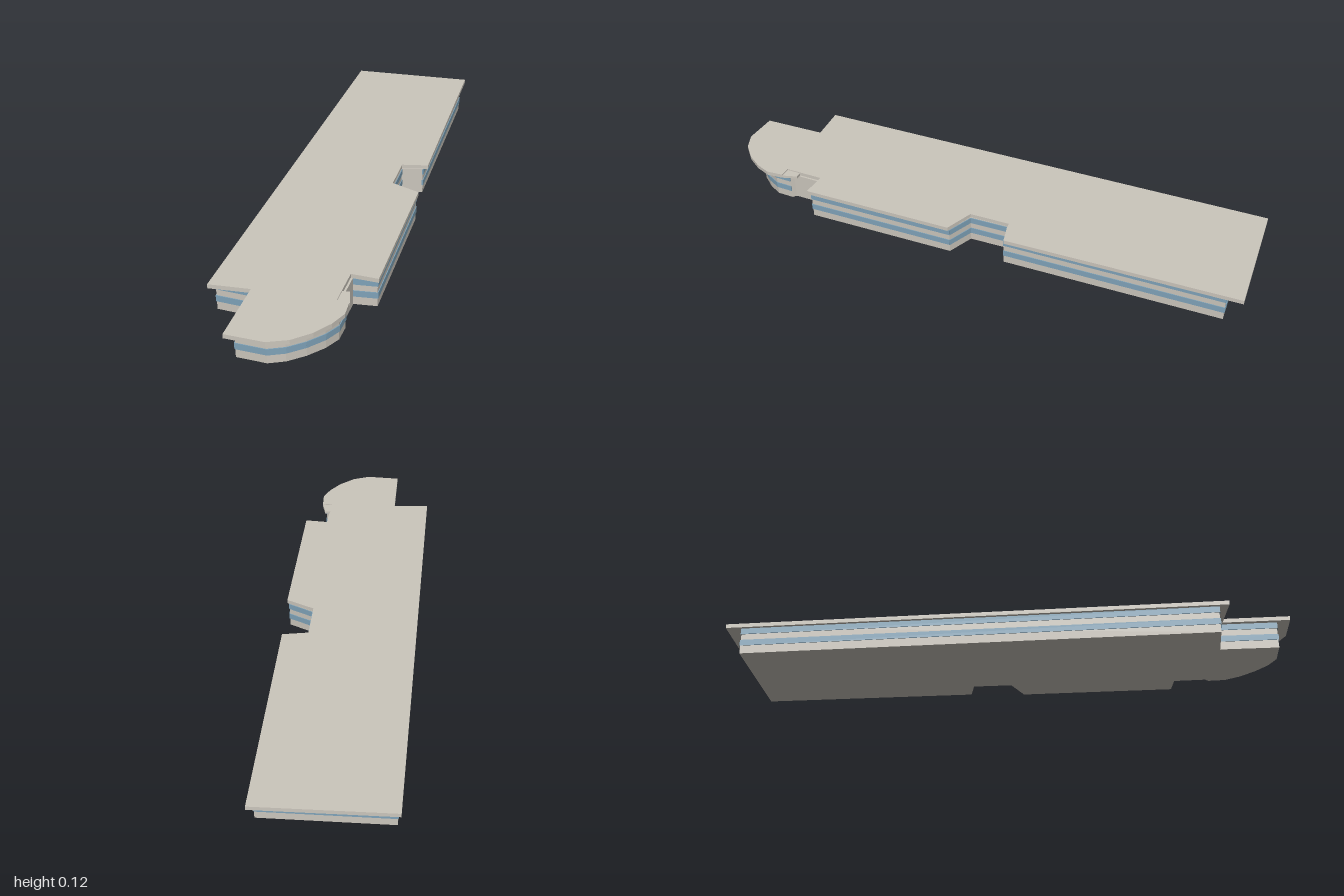
import * as THREE from 'three';

// Plan outlines as [x, z] corners, running from the back corner along the +x side to the front.
const ROOF = [
  [0.33, -1], [0.765, -0.73], [0.262, 0.045], [0.165, 0.005], [0.075, 0.14], [0.143, 0.243],
  [-0.205, 0.765], [-0.285, 0.705], [-0.375, 0.835], [-0.34, 0.86], [-0.375, 0.92],
  [-0.43, 0.957], [-0.5, 0.985], [-0.58, 0.997], [-0.655, 0.983], [-0.77, 0.9],
  [-0.628, 0.685], [-0.76, 0.61],
];
// A third entry of 0 marks a wall that carries no window bands.
const WALLS = [
  [0.306, -0.942], [0.717, -0.683], [0.242, 0.04, 0], [0.162, 0.01], [0.077, 0.14], [0.137, 0.235],
  [-0.203, 0.748], [-0.278, 0.708, 0], [-0.35, 0.812, 0], [-0.345, 0.83], [-0.385, 0.885],
  [-0.44, 0.915], [-0.51, 0.935], [-0.58, 0.942], [-0.64, 0.932], [-0.727, 0.868],
  [-0.605, 0.68], [-0.727, 0.586],
];
const LEDGE = [[-0.345, 0.785], [-0.32, 0.8], [-0.34, 0.862], [-0.377, 0.836]];

// Upright slab with a given plan outline
function slab(name, outline, y0, y1, material) {
  const shape = new THREE.Shape(outline.map(([x, z]) => new THREE.Vector2(x, -z)));
  const geometry = new THREE.ExtrudeGeometry(shape, { depth: y1 - y0, bevelEnabled: false });
  geometry.rotateX(-Math.PI / 2);
  geometry.translate(0, y0, 0);
  const mesh = new THREE.Mesh(geometry, material);
  mesh.name = name;
  return mesh;
}

// Thin window strips following the walls at one storey
function windowBand(name, y0, y1, material) {
  const band = new THREE.Group();
  band.name = name;
  WALLS.forEach(([x, z, striped = 1], i) => {
    if (!striped) return;
    const [nx, nz] = WALLS[(i + 1) % WALLS.length];
    const length = Math.hypot(nx - x, nz - z);
    const strip = new THREE.Mesh(new THREE.BoxGeometry(length + 0.002, y1 - y0, 0.006), material);
    strip.name = 'windowStrip';
    strip.position.set((x + nx) / 2, (y0 + y1) / 2, (z + nz) / 2);
    strip.rotation.y = -Math.atan2(nz - z, nx - x);
    band.add(strip);
  });
  return band;
}

export function createModel() {
  const stone = new THREE.MeshStandardMaterial({ color: 0xcbc6bc });
  stone.name = 'stone';
  const glass = new THREE.MeshStandardMaterial({ color: 0x7fa3b9 });
  glass.name = 'blueGlass';

  const model = new THREE.Group();
  model.name = 'building';
  model.add(
    slab('walls', WALLS, 0, 0.108, stone),
    windowBand('lowerWindows', 0.033, 0.057, glass),
    windowBand('upperWindows', 0.082, 0.106, glass),
    slab('roof', ROOF, 0.107, 0.123, stone),
    slab('entranceLedge', LEDGE, 0.108, 0.119, stone),
  );
  return model;
}
